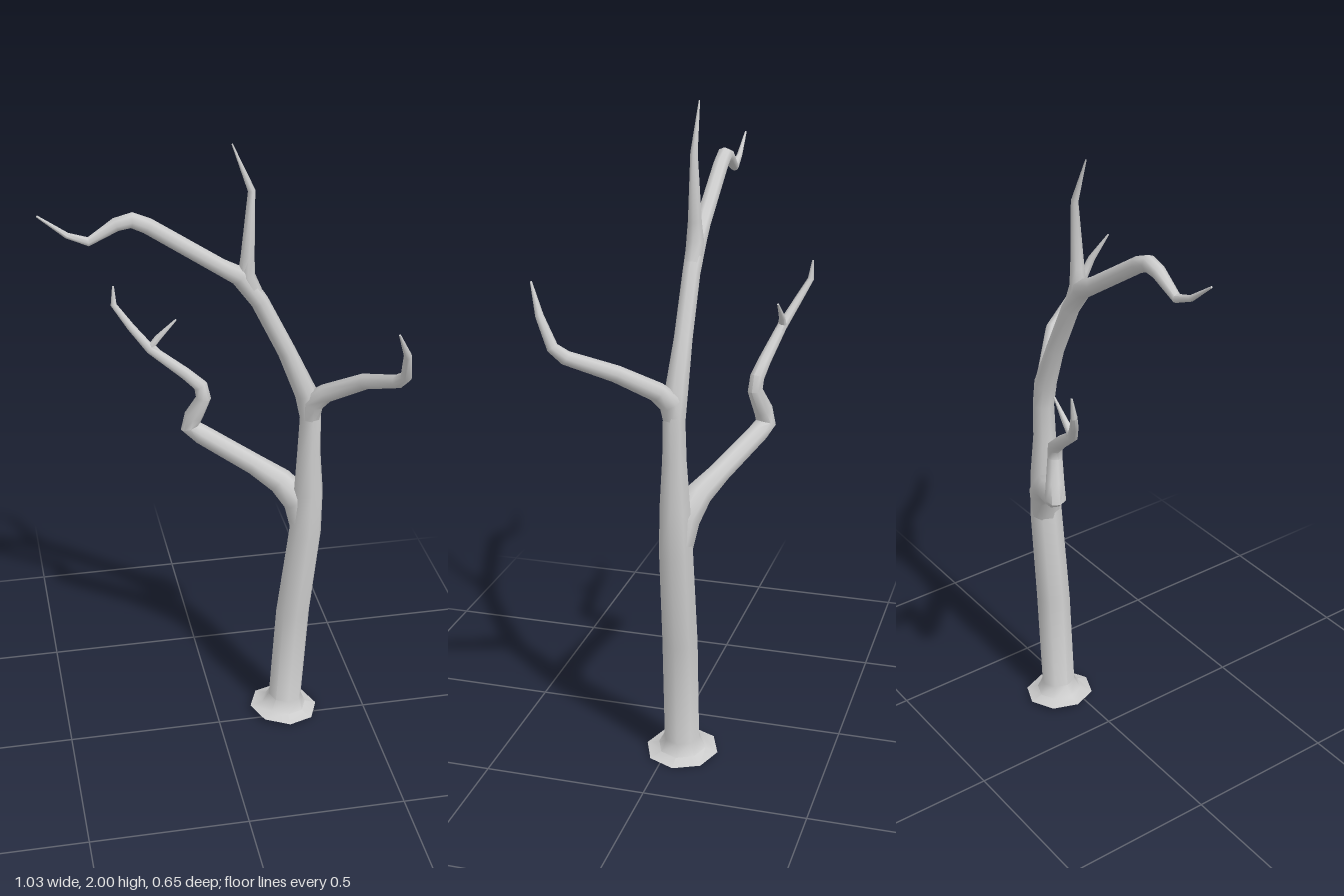
import * as THREE from 'three';
import { toCreasedNormals } from 'three/addons/utils/BufferGeometryUtils.js';

const SIDES = 8;

// Sweeps an eight-sided ring along a list of [x, y, z, radius] stations.
function limb(name, stations, material) {
  const pts = stations.map(([x, y, z]) => new THREE.Vector3(x, y, z));
  const last = pts.length - 1;
  const side = new THREE.Vector3(0, 0, 1);
  const positions = [];
  const index = [];
  pts.forEach((p, i) => {
    // Ring plane bisects the bend; the side vector is carried along the limb.
    const into = p.clone().sub(pts[Math.max(i - 1, 0)]).normalize();
    const out = pts[Math.min(i + 1, last)].clone().sub(p).normalize();
    const tangent = into.add(out).normalize();
    side.addScaledVector(tangent, -side.dot(tangent)).normalize();
    const up = tangent.clone().cross(side);
    for (let j = 0; j < SIDES; j++) {
      const a = (j / SIDES) * Math.PI * 2;
      const r = stations[i][3];
      const v = p.clone().addScaledVector(side, r * Math.cos(a)).addScaledVector(up, r * Math.sin(a));
      positions.push(v.x, v.y, v.z);
      if (i === last) continue;
      const k = (j + 1) % SIDES;
      const [p0, p1] = [i * SIDES + j, i * SIDES + k];
      index.push(p0, p1, p1 + SIDES, p0, p1 + SIDES, p0 + SIDES);
    }
  });
  // Close the tip.
  for (let j = 1; j < SIDES - 1; j++) index.push(last * SIDES, last * SIDES + j, last * SIDES + j + 1);

  const geometry = new THREE.BufferGeometry();
  geometry.setAttribute('position', new THREE.Float32BufferAttribute(positions, 3));
  geometry.setIndex(index);
  const mesh = new THREE.Mesh(toCreasedNormals(geometry, 0.9), material);
  mesh.name = name;
  return mesh;
}

export function createModel() {
  const bark = new THREE.MeshStandardMaterial({ color: 0xcccccc, side: THREE.DoubleSide });
  const tree = new THREE.Group();
  tree.name = 'bareTree';

  // Flared root, leaning trunk, and the long upper branch it turns into.
  tree.add(limb('trunk', [
    [0.230, 0.012, -0.045, 0.114],
    [0.231, 0.024, -0.045, 0.075],
    [0.235, 0.060, -0.045, 0.056],
    [0.255, 0.400, -0.045, 0.056],
    [0.288, 0.700, -0.043, 0.053],
    [0.295, 0.850, -0.042, 0.047],
    [0.292, 1.000, -0.040, 0.037],
    [0.294, 1.120, -0.040, 0.034],
    [0.278, 1.200, -0.042, 0.035],
    [0.215, 1.345, -0.045, 0.028],
    [0.130, 1.515, -0.045, 0.027],
    [0.070, 1.600, -0.045, 0.030],
    [0.010, 1.635, -0.045, 0.025],
    [-0.200, 1.775, -0.045, 0.024],
    [-0.245, 1.795, -0.045, 0.024],
    [-0.290, 1.785, -0.045, 0.021],
    [-0.370, 1.739, -0.045, 0.014],
    [-0.430, 1.762, -0.045, 0.009],
    [-0.512, 1.825, -0.045, 0.003],
  ], bark));

  // Spike rising from the upper fork.
  tree.add(limb('topSpike', [
    [0.125, 1.520, -0.045, 0.024],
    [0.088, 1.600, -0.045, 0.027],
    [0.092, 1.660, -0.045, 0.021],
    [0.102, 1.860, -0.045, 0.011],
    [0.045, 2.000, -0.045, 0.002],
  ], bark));

  // Branch reaching forward on the left.
  tree.add(limb('leftBranch', [
    [0.292, 1.100, -0.040, 0.030],
    [0.298, 1.175, -0.030, 0.036],
    [0.330, 1.215, 0.000, 0.029],
    [0.425, 1.290, 0.090, 0.025],
    [0.488, 1.345, 0.215, 0.021],
    [0.501, 1.375, 0.248, 0.017],
    [0.489, 1.460, 0.288, 0.012],
    [0.450, 1.545, 0.325, 0.003],
  ], bark));

  // Crooked branch reaching back on the right.
  tree.add(limb('rightBranch', [
    [0.290, 0.700, -0.045, 0.045],
    [0.268, 0.810, -0.062, 0.050],
    [0.215, 0.868, -0.092, 0.042],
    [0.140, 0.912, -0.135, 0.034],
    [-0.015, 0.993, -0.215, 0.032],
    [-0.050, 1.018, -0.232, 0.033],
    [-0.040, 1.060, -0.226, 0.030],
    [-0.012, 1.130, -0.206, 0.024],
    [-0.020, 1.170, -0.210, 0.023],
    [-0.065, 1.210, -0.222, 0.020],
    [-0.170, 1.290, -0.250, 0.016],
    [-0.225, 1.355, -0.283, 0.013],
    [-0.273, 1.420, -0.316, 0.010],
    [-0.272, 1.480, -0.322, 0.003],
  ], bark));

  // Small twig near its end.
  tree.add(limb('twig', [
    [-0.135, 1.265, -0.242, 0.012],
    [-0.167, 1.300, -0.252, 0.014],
    [-0.145, 1.325, -0.256, 0.010],
    [-0.088, 1.382, -0.255, 0.003],
  ], bark));

  return tree;
}
